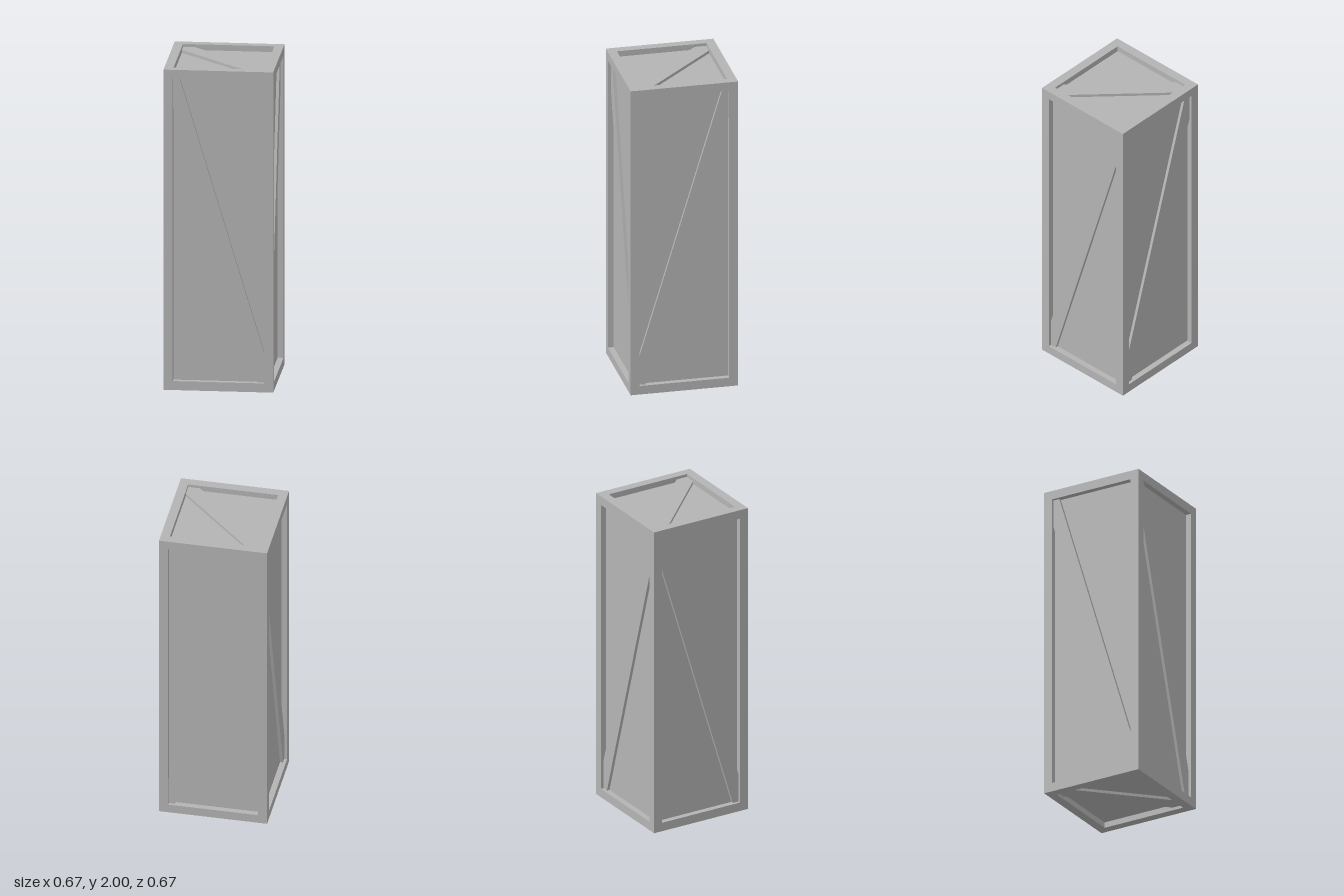
import * as THREE from 'three';

const W = 0.666, H = 2;        // outer size
const BAR = 0.056;             // width of the frame bars
const PANEL_IN = 0.036;        // panel recess
const BRACE_IN = 0.018;        // brace recess

export function createModel() {
  const model = new THREE.Group();
  model.name = 'crate';
  const gray = new THREE.MeshStandardMaterial({ color: 0xb4b4b4 });
  gray.name = 'gray';

  const crate = new THREE.Group();
  crate.name = 'crateBody';
  crate.position.y = H / 2;
  model.add(crate);

  const add = (name, geometry, x = 0, y = 0, z = 0) => {
    const mesh = new THREE.Mesh(geometry, gray);
    mesh.name = name;
    mesh.position.set(x, y, z);
    crate.add(mesh);
    return mesh;
  };

  // Recessed panels, all six as one inner box
  add('panels', new THREE.BoxGeometry(W - 2 * PANEL_IN, H - 2 * PANEL_IN, W - 2 * PANEL_IN));

  // Frame: four posts, with rails between them at the top and bottom
  const e = (W - BAR) / 2, ey = (H - BAR) / 2, gap = W - 2 * BAR;
  for (const a of [-1, 1]) {
    for (const b of [-1, 1]) {
      add('cornerPost', new THREE.BoxGeometry(BAR, H, BAR), a * e, 0, b * e);
      add('crossRail', new THREE.BoxGeometry(gap, BAR, BAR), 0, a * ey, b * e);
      add('sideRail', new THREE.BoxGeometry(BAR, BAR, gap), a * e, b * ey, 0);
    }
  }

  // Diagonal brace from upper left to lower right, clipped by the frame opening
  const thickness = PANEL_IN - BRACE_IN;
  const braceGeometry = (w, h, cutX, cutY) => {
    const u = w / 2 - BAR, v = h / 2 - BAR;
    const shape = new THREE.Shape([
      [-u, v], [-u, v - cutY], [u - cutX, -v],
      [u, -v], [u, -v + cutY], [-u + cutX, v],
    ].map(([x, y]) => new THREE.Vector2(x, y)));
    return new THREE.ExtrudeGeometry(shape, { depth: thickness, bevelEnabled: false })
      .translate(0, 0, -thickness / 2);
  };
  const tall = braceGeometry(W, H, 0.04, 0.18);
  const square = braceGeometry(W, W, 0.073, 0.073);
  const inset = BRACE_IN + thickness / 2;
  for (const s of [-1, 1]) {
    add(s > 0 ? 'frontBrace' : 'backBrace', tall, 0, 0, s * (W / 2 - inset));
    add(s > 0 ? 'leftBrace' : 'rightBrace', tall, s * (W / 2 - inset), 0, 0).rotation.y = -Math.PI / 2;
    add(s > 0 ? 'topBrace' : 'bottomBrace', square, 0, s * (H / 2 - inset), 0).rotation.x = -Math.PI / 2;
  }
  return model;
}
